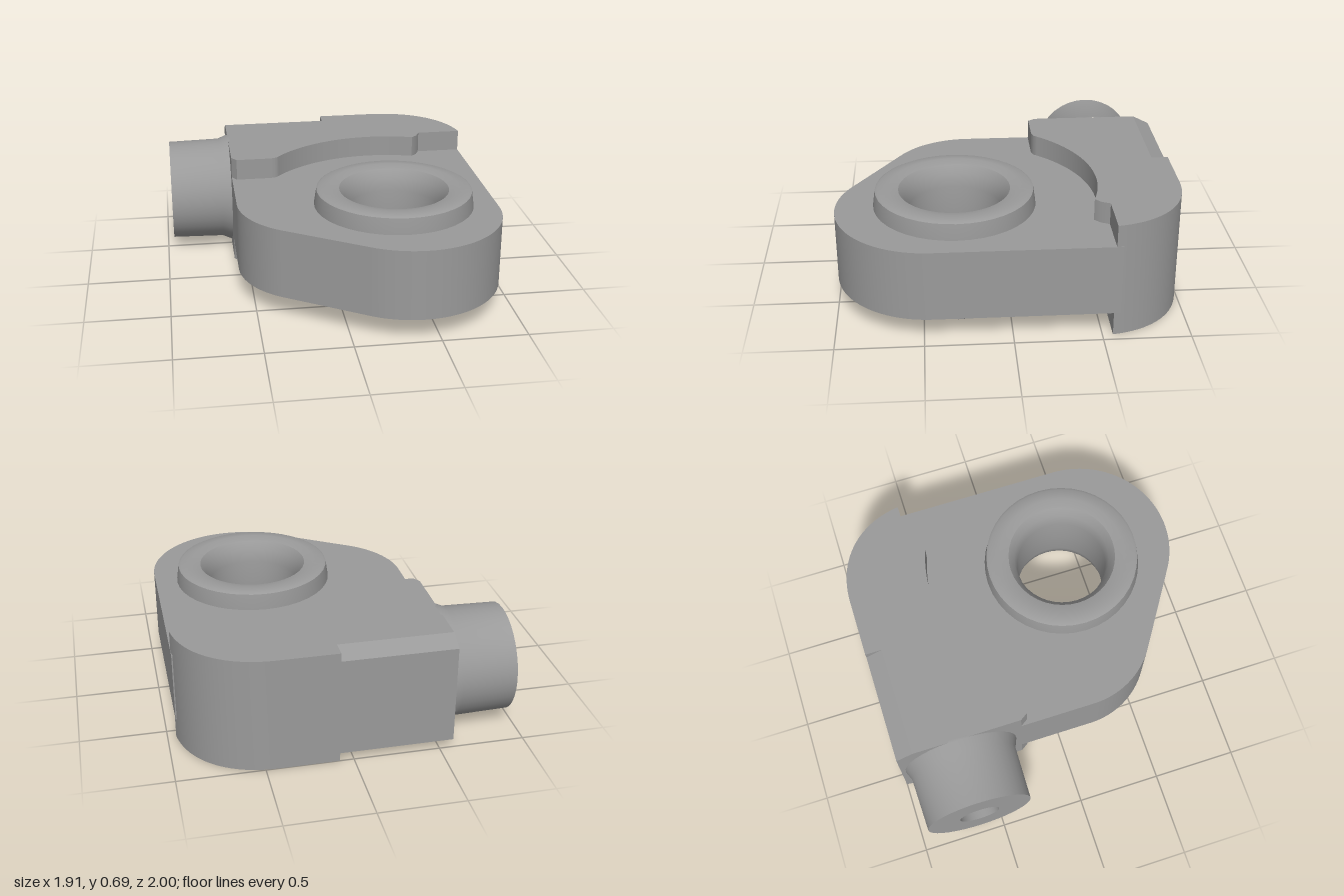
import * as THREE from 'three';
import { toCreasedNormals } from 'three/addons/utils/BufferGeometryUtils.js';

const BOSS = { x: 0.345, z: 0.305 };

// Extrudes a plan shape (x, -z) upwards from y0 to y1
function slab(shape, y0, y1) {
  const geo = new THREE.ExtrudeGeometry(shape, { depth: y1 - y0, bevelEnabled: false, curveSegments: 20 });
  geo.rotateX(-Math.PI / 2).translate(0, y0, 0);
  return toCreasedNormals(geo, 0.5);
}

function turned(points, segments) {
  const profile = points.map(([r, y]) => new THREE.Vector2(r, y));
  return toCreasedNormals(new THREE.LatheGeometry(profile, segments), 0.6);
}

export function createModel() {
  const model = new THREE.Group();
  const grey = new THREE.MeshStandardMaterial({ color: 0x9a9a9a });
  grey.name = 'castGrey';
  const add = (name, geo) => {
    const mesh = new THREE.Mesh(geo, grey);
    mesh.name = name;
    model.add(mesh);
    return mesh;
  };

  // Rounded mounting plate with an opening for the boss
  const plate = new THREE.Shape();
  plate.moveTo(0.95, 0.6);
  plate.lineTo(-0.58, 0.6);
  plate.lineTo(-0.58, -0.2);
  plate.absarc(-0.08, -0.2, 0.5, Math.PI, Math.PI + 0.993, false);
  plate.absarc(0.4, -0.45, 0.55, Math.PI + 0.993, Math.PI * 2, false);
  plate.closePath();
  const opening = new THREE.Path();
  opening.absarc(BOSS.x, -BOSS.z, 0.38, 0, Math.PI * 2, true);
  plate.holes.push(opening);
  add('mountingPlate', slab(plate, 0.14, 0.56));

  // Ring boss standing proud above and below the plate, with a flared bore
  const boss = turned([
    [0.445, 0.035], [0.46, 0.045], [0.474, 0.14], [0.474, 0.56], [0.46, 0.655], [0.445, 0.663],
    [0.38, 0.668], [0.325, 0.655], [0.29, 0.61], [0.272, 0.53], [0.27, 0.35],
    [0.272, 0.17], [0.29, 0.09], [0.325, 0.045], [0.38, 0.032], [0.445, 0.035],
  ], 40);
  add('ringBoss', boss).position.set(BOSS.x, 0, BOSS.z);

  // Tall housing curving around the boss
  const housing = new THREE.Shape();
  housing.moveTo(-0.58, 0.25);
  housing.lineTo(-0.58, 0.9);
  housing.lineTo(0.08, 0.9);
  housing.lineTo(0.08, 1);
  housing.lineTo(0.43, 1);
  housing.bezierCurveTo(0.7, 1, 0.91, 0.84, 0.95, 0.56);
  housing.lineTo(0.68, 0.56);
  housing.lineTo(0.655, 0.51);
  housing.lineTo(0.62, 0.478);
  housing.absarc(BOSS.x, -BOSS.z, 0.83, 1.233, 2.461, false);
  housing.quadraticCurveTo(-0.325, 0.205, -0.36, 0.205);
  housing.lineTo(-0.55, 0.205);
  housing.closePath();
  add('housing', slab(housing, 0, 0.69));

  // Chamfered back strip of the housing, run along x
  const strip = new THREE.Shape([[0.9, 0], [1, 0.05], [1, 0.64], [0.9, 0.69]].map(([z, y]) => new THREE.Vector2(z, y)));
  const stripGeo = new THREE.ExtrudeGeometry(strip, { depth: 0.66, bevelEnabled: false });
  stripGeo.rotateY(Math.PI / 2).translate(-0.58, 0, 0);
  add('backChamfer', stripGeo);

  // Pipe stub with a flared root and a blind bore
  const pipe = turned([
    [0.345, 0.57], [0.345, 0.585], [0.322, 0.64], [0.315, 0.96],
    [0.12, 0.96], [0.12, 0.6], [0, 0.6],
  ], 36);
  pipe.rotateZ(Math.PI / 2);
  add('pipeStub', pipe).position.set(0, 0.35, -0.63);

  return model;
}
